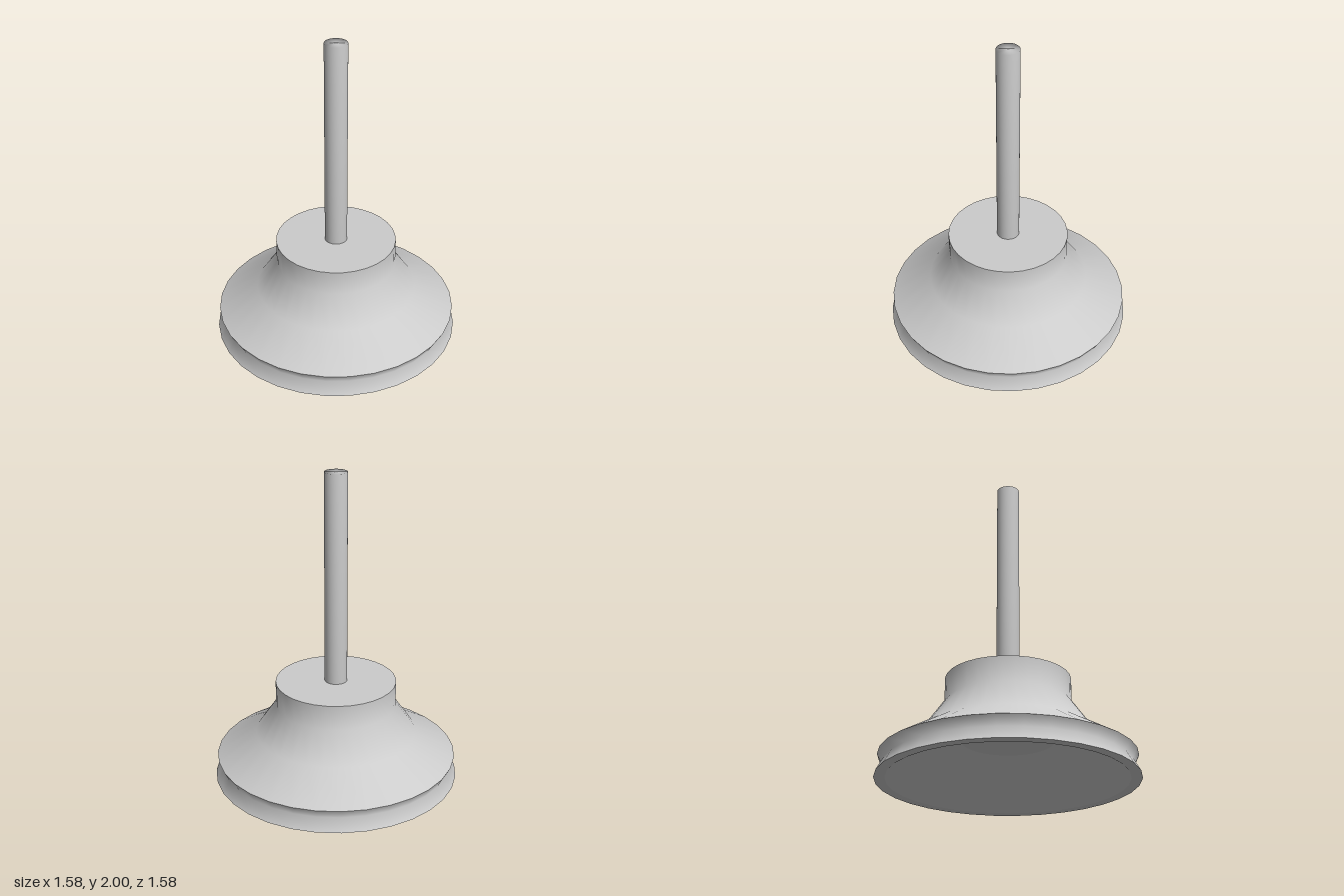
import * as THREE from 'three';

const SIDES = 32;
const grey = new THREE.MeshStandardMaterial({ color: 0xcccccc });

// Smooth surface of revolution from [radius, height] points; outside is to the right of travel upward
function turned(name, points) {
  const profile = points.map(([r, y]) => new THREE.Vector2(r, y));
  const mesh = new THREE.Mesh(new THREE.LatheGeometry(profile, SIDES), grey);
  mesh.name = name;
  return mesh;
}

export function createModel() {
  const model = new THREE.Group();
  model.name = 'suctionCup';

  // Cup: separate strips keep the rim and collar edges sharp
  const cup = new THREE.Group();
  cup.name = 'cup';
  cup.add(
    turned('lipOuter', [[0.79, 0], [0.745, 0.08], [0.775, 0.14]]),
    turned('cupShoulder', [[0.775, 0.14], [0.52, 0.29], [0.387, 0.48], [0.387, 0.64]]),
    turned('collarTop', [[0.387, 0.64], [0, 0.64]]),
    turned('lipBottom', [[0.725, 0], [0.79, 0]]),
    turned('cupInnerWall', [[0.285, 0.25], [0.725, 0]]),
    turned('cupCeiling', [[0, 0.25], [0.285, 0.25]]),
  );

  // Rod: one strip, so its ends shade softly into the sides
  const rod = turned('rod', [[0, 0.64], [0.072, 0.64], [0.072, 2], [0, 2]]);

  model.add(cup, rod);
  return model;
}
